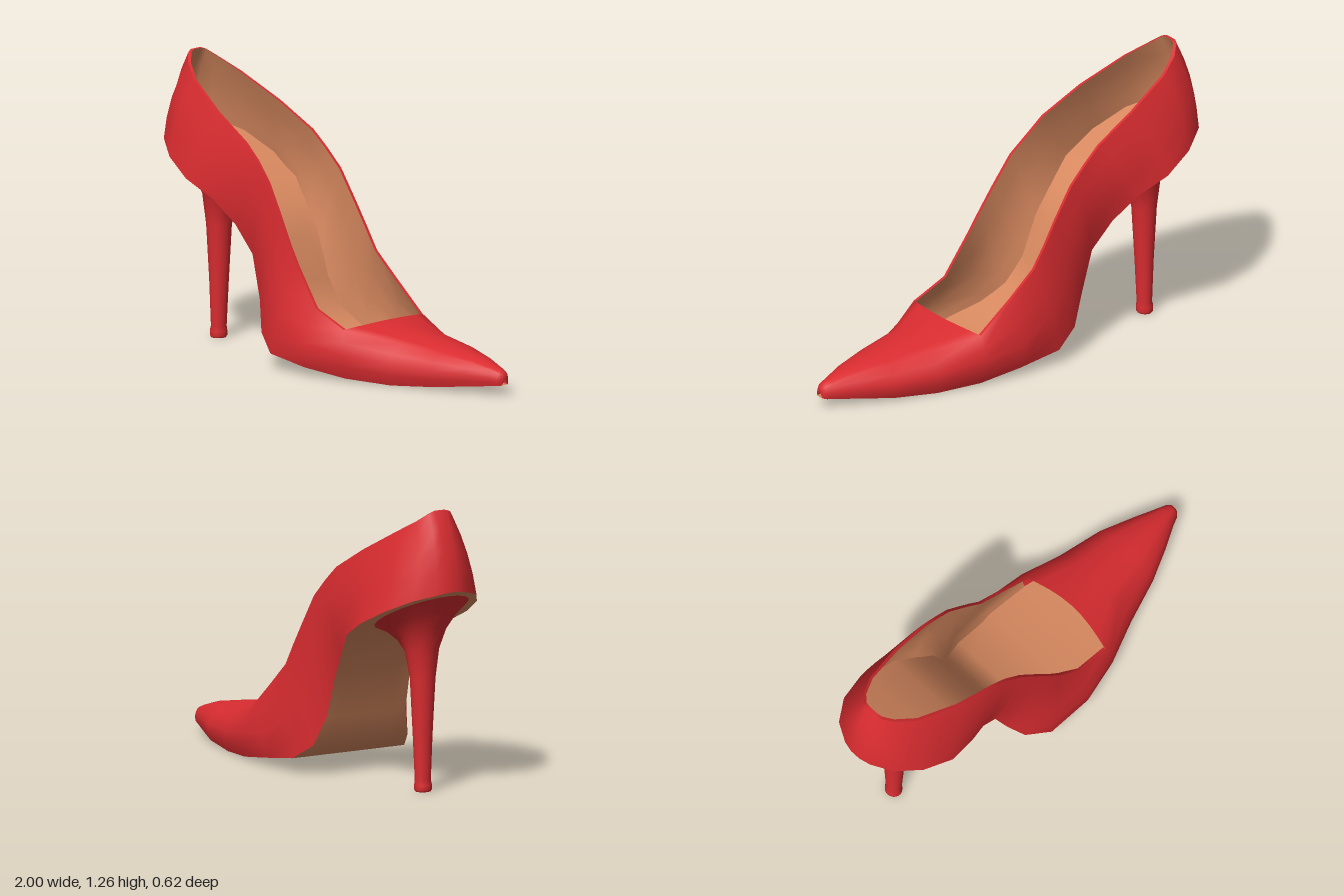
import * as THREE from 'three';
import { mergeGeometries, mergeVertices } from 'three/addons/utils/BufferGeometryUtils.js';

// Stations from throat to back of heel: [x, y, zRight, zLeft, optional y on the right side]
const FEATHER = [
  [0.30, 0.012, -0.265, 0.245], [0.10, 0.04, -0.285, 0.295], [-0.11, 0.07, -0.285, 0.295],
  [-0.22, 0.14, -0.25, 0.24], [-0.28, 0.27, -0.22, 0.19], [-0.34, 0.46, -0.215, 0.175],
  [-0.43, 0.58, -0.24, 0.19], [-0.53, 0.68, -0.28, 0.225], [-0.68, 0.755, -0.31, 0.245],
  [-0.82, 0.825, -0.275, 0.205], [-0.93, 0.88, -0.20, 0.13], [-0.985, 0.905, -0.11, 0.04],
  [-1.0, 0.915, -0.06, -0.01],
];
const WAIST = [
  [0.30, 0.12, -0.29, 0.27], [0.10, 0.15, -0.305, 0.31], [-0.07, 0.24, -0.285, 0.285],
  [-0.15, 0.34, -0.265, 0.26], [-0.21, 0.46, -0.25, 0.23], [-0.28, 0.64, -0.25, 0.21],
  [-0.36, 0.73, -0.255, 0.205], [-0.46, 0.82, -0.27, 0.215], [-0.63, 0.92, -0.265, 0.21],
  [-0.81, 1.02, -0.225, 0.16], [-0.92, 1.06, -0.16, 0.09], [-0.955, 1.09, -0.10, 0.03],
  [-0.965, 1.10, -0.06, -0.01],
];
const TOPLINE = [
  [0.285, 0.225, -0.245, 0.24], [0.12, 0.295, -0.25, 0.245, 0.36], [0.0, 0.465, -0.25, 0.24],
  [-0.06, 0.56, -0.25, 0.235], [-0.12, 0.66, -0.245, 0.225], [-0.21, 0.80, -0.24, 0.21],
  [-0.29, 0.88, -0.235, 0.195], [-0.37, 0.95, -0.23, 0.19], [-0.56, 1.055, -0.215, 0.17],
  [-0.76, 1.16, -0.175, 0.115], [-0.85, 1.215, -0.13, 0.06], [-0.89, 1.25, -0.09, 0.02],
  [-0.90, 1.26, -0.065, -0.005],
];
// Toe stations: [x, y bottom, y top, zRight, zLeft]
const TOE = [
  [0.50, 0.0, 0.207, -0.235, 0.185], [0.70, 0.014, 0.177, -0.19, 0.125],
  [0.85, 0.03, 0.15, -0.128, 0.062], [0.95, 0.04, 0.12, -0.085, 0.013],
  [0.985, 0.043, 0.107, -0.07, 0.0], [1.0, 0.046, 0.095, -0.055, -0.015],
];
// Heel rings: [xBack, yBack, xFront, yFront, half width]
const HEEL = [
  [-0.965, 0.892, -0.53, 0.682, 0.20], [-0.915, 0.82, -0.58, 0.672, 0.145],
  [-0.87, 0.74, -0.63, 0.645, 0.10], [-0.83, 0.64, -0.675, 0.605, 0.073],
  [-0.812, 0.5, -0.70, 0.5, 0.056], [-0.797, 0.25, -0.715, 0.25, 0.044],
  [-0.79, 0.05, -0.725, 0.05, 0.036], [-0.796, 0.03, -0.722, 0.03, 0.039],
  [-0.796, 0.008, -0.722, 0.008, 0.039], [-0.79, 0, -0.727, 0, 0.034],
];
const CENTRE = -0.035, WALL = 4, THICK = 0.014;
const V = (x, y, z) => new THREE.Vector3(x, y, z);
const range = (n, f) => Array.from({ length: n }, (_, i) => f(i));

const sides = FEATHER.map((b, i) => ({ b, m: WAIST[i], t: TOPLINE[i], inset: i > 8 ? (i - 8) / 4 : 0 }));
const toe = TOE.map(([x, y0, y1, r, l]) => {
  const h = y1 - y0, c = (r + l) / 2, row = (k, v) => [x, y0 + h * v, c + (r - c) * k, c + (l - c) * k];
  return { b: row(0.92, 0), m: row(1, 0.45), t: row(0.66, 0.86), rise: h * 0.14, inset: 0 };
});

// Point on a side wall: v runs from feather edge to topline, side is +1 left or -1 right
function wall(s, side, v, inner = 0) {
  const p = (r) => V(r[0], side < 0 ? r[4] ?? r[1] : r[1], side < 0 ? r[2] : r[3]);
  const q = V(0, 0, 0)
    .addScaledVector(p(s.b), (1 - v) * (1 - 2 * v))
    .addScaledVector(p(s.m), 4 * v * (1 - v))
    .addScaledVector(p(s.t), v * (2 * v - 1));
  q.z -= side * inner * (1 - 0.5 * s.inset);
  q.x += inner * s.inset;
  return q;
}

// Skin over a grid of points
function skin(rows, flip = false) {
  const n = rows[0].length, index = [];
  for (let i = 0; i < rows.length - 1; i++) for (let j = 0; j < n - 1; j++) {
    const a = i * n + j, b = a + n, c = b + 1, d = a + 1;
    index.push(...(flip ? [a, c, b, a, d, c] : [a, b, c, a, c, d]));
  }
  const g = new THREE.BufferGeometry().setFromPoints(rows.flat());
  g.setIndex(index);
  return g;
}
function smooth(...parts) {
  const g = mergeVertices(mergeGeometries(parts));
  g.computeVertexNormals();
  return g;
}
const across = (a, b, n = 6) => range(n + 1, (k) => a.clone().lerp(b, k / n));

export function createModel() {
  const group = new THREE.Group();
  const red = new THREE.MeshStandardMaterial({ color: 0xd92c30, side: THREE.DoubleSide });
  red.name = 'red leather';
  const tan = new THREE.MeshStandardMaterial({ color: 0xd98a60, side: THREE.DoubleSide });
  tan.name = 'tan leather';
  const add = (name, geometry, material) => {
    const mesh = new THREE.Mesh(geometry, material);
    mesh.name = name;
    group.add(mesh);
  };

  // Columns running from the right throat corner, round the heel, to the left one
  const around = [
    ...sides.map((s) => [s, -1]),
    ...sides.slice().reverse().map((s) => [s, 1]),
  ];
  const column = (s, side, inner) => range(WALL + 1, (k) => wall(s, side, k / WALL, inner));

  // Upper: side walls plus arched toe
  const toeRows = [{ ...sides[0], rise: 0.018, push: 0.04 }, ...toe].map((s) => {
    const left = column(s, 1), right = column(s, -1).reverse();
    const arch = across(left[WALL], right[0], 8).slice(1, -1).map((p, k) => {
      const w = Math.sin(((k + 1) / 8) * Math.PI);
      return V(p.x + (s.push ?? 0) * w, p.y + s.rise * w, p.z);
    });
    return [...left, ...arch, ...right];
  });
  const tip = toeRows.at(-1);
  const cap = tip.map(() => V(1, 0.07, CENTRE));
  add('upper', smooth(skin(around.map(([s, d]) => column(s, d))), skin([...toeRows, cap])), red);

  // Topline binding between upper and lining
  add('topline', smooth(skin(around.map(([s, d]) => [wall(s, d, 1), wall(s, d, 1, THICK)]))), red);

  // Lining and insole
  add('lining', smooth(skin(around.map(([s, d]) => column(s, d, THICK)), true)), tan);
  const length = [...sides.slice().reverse(), ...toe];
  add('insole', smooth(skin(length.slice(0, -3).map((s) =>
    across(wall(s, 1, 0.12, THICK), wall(s, -1, 0.12, THICK))))), tan);

  // Outsole
  add('outsole', smooth(skin(length.map((s) => across(wall(s, 1, 0), wall(s, -1, 0))), true)), tan);

  // Stiletto heel and its tip
  const rings = HEEL.map(([xb, yb, xf, yf, w]) => range(25, (k) => {
    const a = (k / 24) * Math.PI * 2, u = (1 + Math.cos(a)) / 2;
    return V(xb + (xf - xb) * u, yb + (yf - yb) * u, CENTRE + w * Math.sin(a));
  }));
  add('heel', smooth(skin(rings, true)), red);
  const last = rings.at(-1);
  add('heelTip', smooth(skin([last, last.map(() => V(-0.7585, 0, CENTRE))], true)), tan);

  return group;
}
